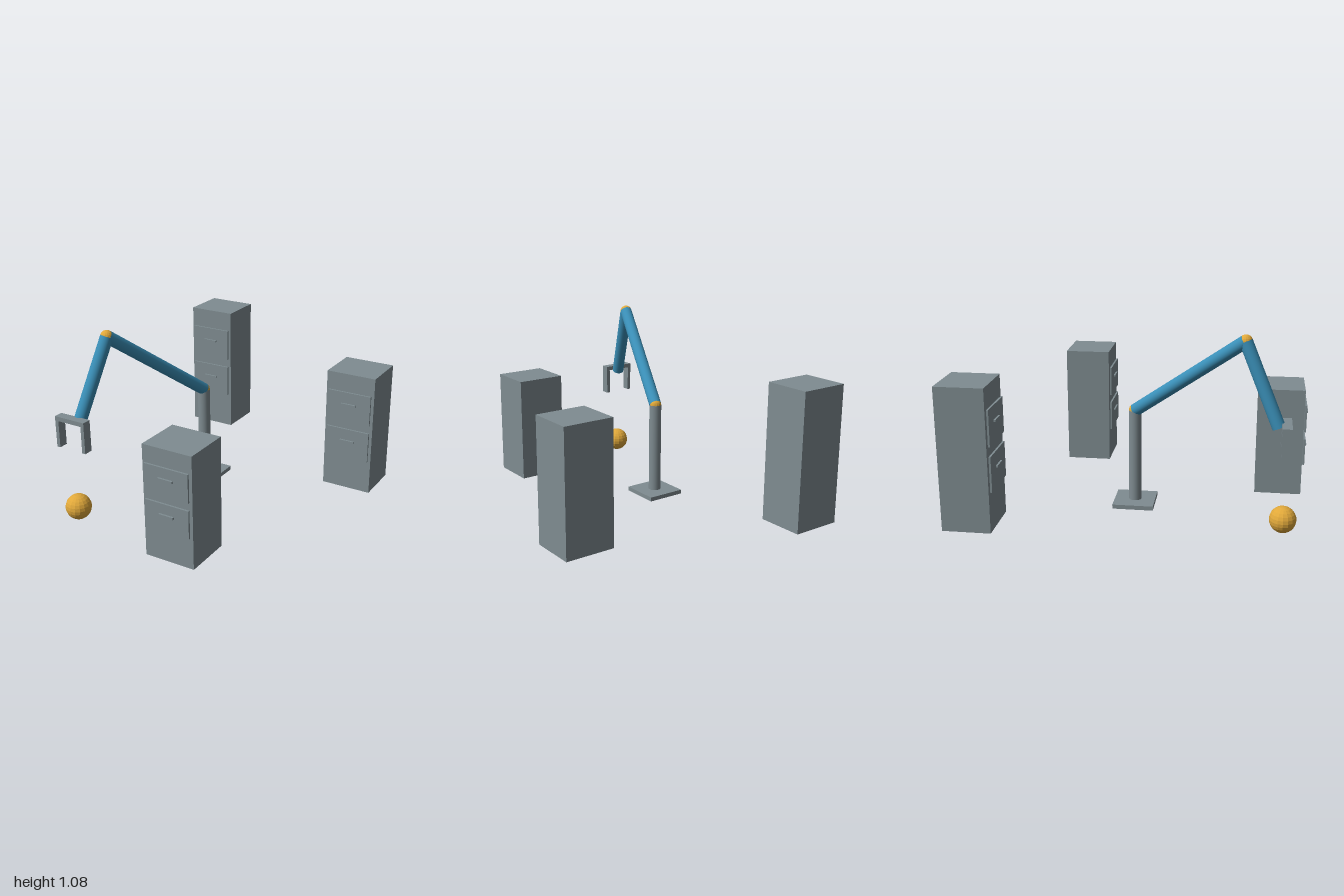
import * as THREE from 'three';

const mat = (name, color, flatShading = false) => {
  const m = new THREE.MeshStandardMaterial({ color, flatShading });
  m.name = name;
  return m;
};

export function createModel() {
  const grey = mat('steelGrey', 0x7f8c91);
  const blue = mat('armBlue', 0x3a8fb7);
  const gold = mat('gold', 0xe0a83a, true);
  const model = new THREE.Group();
  model.name = 'robotArmWithCabinets';

  const add = (parent, name, geometry, material, x, y, z) => {
    const mesh = new THREE.Mesh(geometry, material);
    mesh.name = name;
    mesh.position.set(x, y, z);
    parent.add(mesh);
    return mesh;
  };
  const box = (parent, name, w, h, d, x, y, z) =>
    add(parent, name, new THREE.BoxGeometry(w, h, d), grey, x, y, z);

  // Cabinets: body, two drawer fronts and their handles
  const depth = 0.277;
  const cabinet = (name, x, h, front) => {
    const g = new THREE.Group();
    g.name = name;
    g.position.set(x, 0, front);
    box(g, 'cabinetBody', 0.303, h, depth, 0, h / 2, -depth / 2);
    for (const level of [0.407, 0.725]) {
      const y = h * level;
      box(g, 'drawerFront', 0.27, h / 4, 0.011, 0, y, 0.0095);
      box(g, 'drawerHandle', 0.09, 0.012, 0.014, 0, y + 0.017, 0.019);
    }
    model.add(g);
  };
  cabinet('tallCabinet', -0.622, 0.825, -0.724);
  cabinet('middleCabinet', 0.62, 0.737, -0.273);
  cabinet('shortCabinet', 0.167, 0.653, 0.974);

  // Arm: base plate, column, two limbs and the joints between them
  const arm = new THREE.Group();
  arm.name = 'robotArm';
  model.add(arm);
  const r = 0.037;
  const foot = new THREE.Vector3(-0.23, 0.02, -0.001);
  const shoulder = new THREE.Vector3(-0.23, 0.571, -0.001);
  const elbow = new THREE.Vector3(-0.457, 1.046, 0.622);
  const wrist = new THREE.Vector3(-0.525, 0.596, 0.813);
  const limb = (name, a, b, material) => {
    const dir = b.clone().sub(a);
    const mid = a.clone().add(b).multiplyScalar(0.5);
    const mesh = add(arm, name, new THREE.CylinderGeometry(r, r, dir.length(), 24), material, mid.x, mid.y, mid.z);
    mesh.quaternion.setFromUnitVectors(new THREE.Vector3(0, 1, 0), dir.normalize());
  };
  box(arm, 'basePlate', 0.236, 0.025, 0.238, -0.23, 0.0125, -0.002);
  limb('column', foot, shoulder, grey);
  limb('upperArm', shoulder, elbow, blue);
  limb('forearm', elbow, wrist, blue);
  for (const [name, p] of [['shoulderJoint', shoulder], ['elbowJoint', elbow]])
    add(arm, name, new THREE.SphereGeometry(r, 16, 12), gold, p.x, p.y, p.z);

  // Gripper: cross bar with two fingers
  const gripper = new THREE.Group();
  gripper.name = 'gripper';
  gripper.position.set(-0.543, 0, 0.855);
  arm.add(gripper);
  box(gripper, 'gripperBar', 0.2, 0.026, 0.054, 0, 0.614, 0);
  for (const side of [-1, 1])
    box(gripper, 'gripperFinger', 0.022, 0.16, 0.054, side * 0.089, 0.522, 0);

  // Ball under the gripper
  add(model, 'ball', new THREE.SphereGeometry(0.075, 16, 12), gold, -0.543, 0.077, 0.855);
  return model;
}
